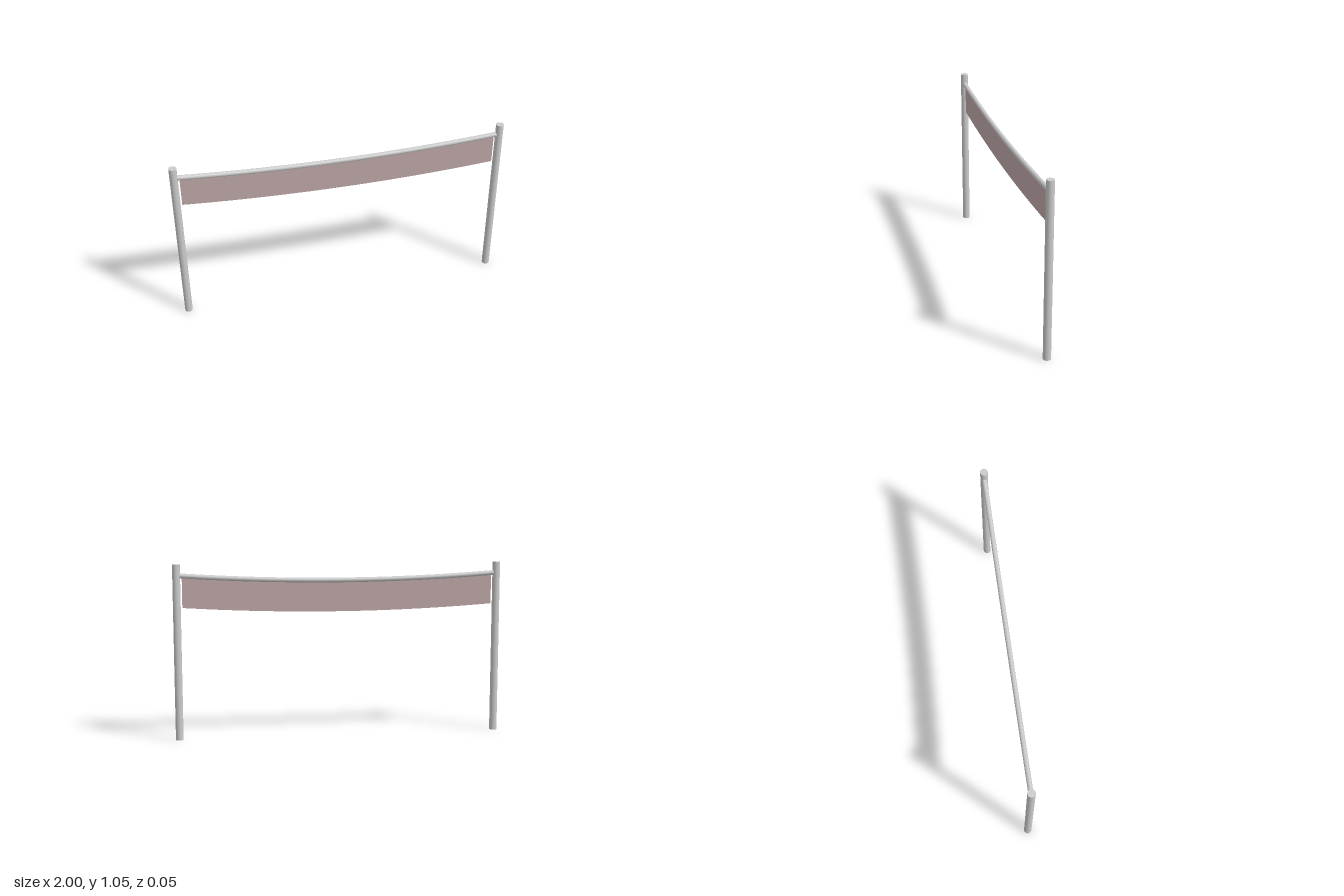
import * as THREE from 'three';

const SPAN = 0.97;

// Height of the sagging top rail's centre line at x
const sag = (x) => 0.953 + 0.036 * (x / SPAN) ** 2;

export function createModel() {
  const group = new THREE.Group();
  const grey = new THREE.MeshStandardMaterial({ color: 0xcccccc });
  const cloth = new THREE.MeshStandardMaterial({ color: 0xbfa8a8, side: THREE.DoubleSide });

  const add = (name, geometry, material) => {
    const mesh = new THREE.Mesh(geometry, material);
    mesh.name = name;
    group.add(mesh);
    return mesh;
  };

  // Round upright posts
  const postHeight = 1.055;
  for (const side of [-1, 1]) {
    const post = add(side > 0 ? 'leftPost' : 'rightPost',
      new THREE.CylinderGeometry(0.023, 0.023, postHeight, 24), grey);
    post.position.set(side * 0.977, postHeight / 2, 0);
  }

  // Sagging rail between the posts, its ends buried in them
  const points = [];
  for (let i = 0; i <= 12; i++) {
    const x = -SPAN + (2 * SPAN * i) / 12;
    points.push(new THREE.Vector3(x, sag(x), 0));
  }
  add('topRail', new THREE.TubeGeometry(new THREE.CatmullRomCurve3(points), 32, 0.0145, 16), grey);

  // Thin hanging panel that follows the sag
  const panel = new THREE.PlaneGeometry(1.89, 0.19, 32, 1);
  const pos = panel.attributes.position;
  for (let i = 0; i < pos.count; i++) {
    const drop = pos.getY(i) > 0 ? 0 : 0.19;
    pos.setY(i, sag(pos.getX(i)) - drop);
  }
  panel.computeVertexNormals();
  add('hangingPanel', panel, cloth);

  return group;
}
